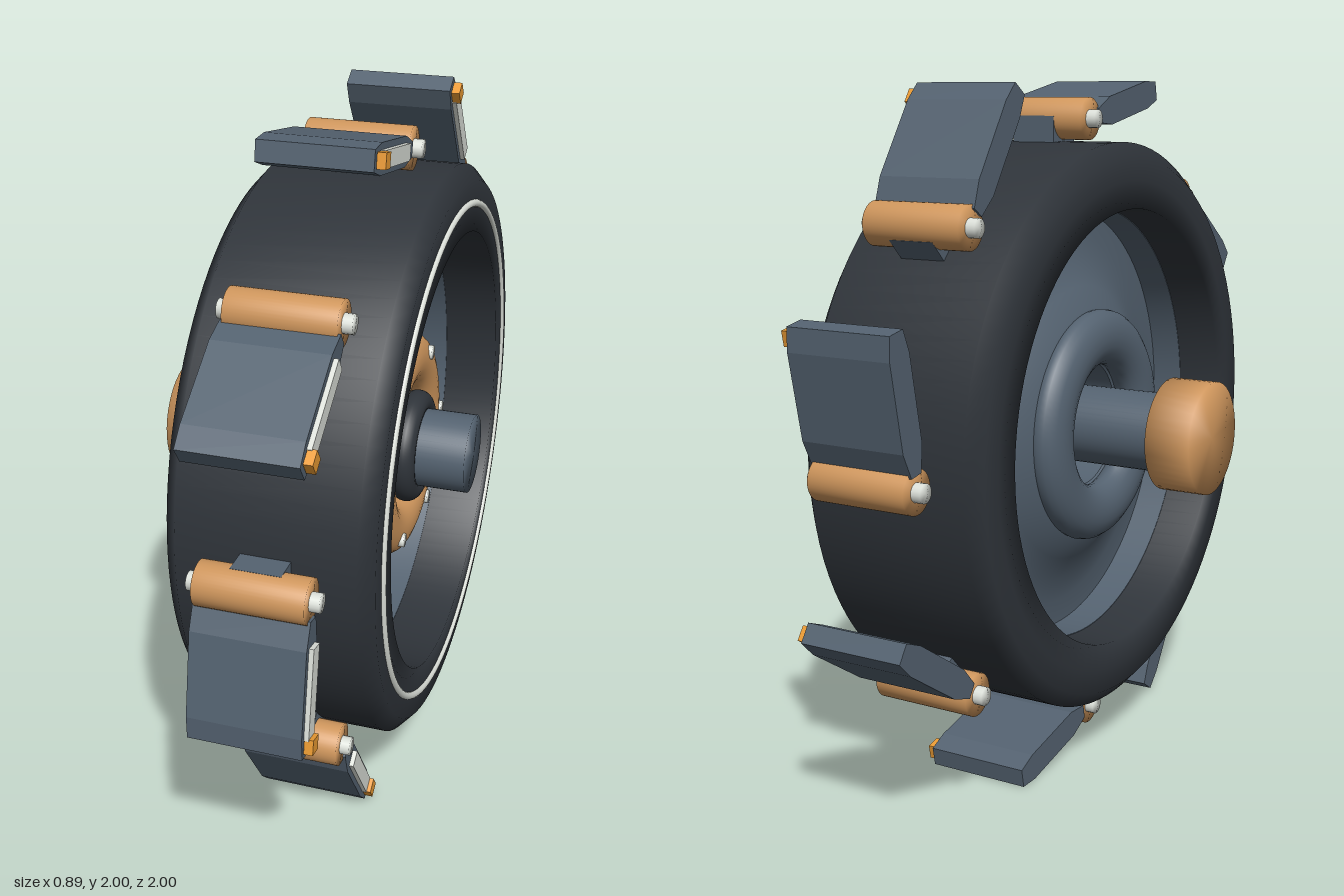
import * as THREE from 'three';
import { mergeVertices, toCreasedNormals } from 'three/addons/utils/BufferGeometryUtils.js';

const MID = 0.0975; // centre plane of the wheel along the axle
const mat = (color) => new THREE.MeshStandardMaterial({ color });
const rubber = mat(0x2f343a), steel = mat(0x546270), bronze = mat(0xd0975d);
const pale = mat(0xdce0d9), amber = mat(0xec9c34);
const paddleSteel = new THREE.MeshStandardMaterial({ color: 0x546270, flatShading: true });

function add(parent, name, geometry, material, x = 0, y = 0, z = 0) {
  const mesh = new THREE.Mesh(geometry, material);
  mesh.name = name;
  mesh.position.set(x, y, z);
  parent.add(mesh);
  return mesh;
}

// Weld a geometry and shade it smoothly, also over its edges
function softened(geometry) {
  geometry.deleteAttribute('normal');
  geometry.deleteAttribute('uv');
  const welded = mergeVertices(geometry, 1e-4);
  welded.computeVertexNormals();
  return welded;
}

// Cylinder, torus and lathe turned so that their axis is x
const rod = (r, length, sides = 40) =>
  softened(new THREE.CylinderGeometry(r, r, length, sides).rotateZ(-Math.PI / 2));
const ring = (r, tube, sx = 1) =>
  new THREE.TorusGeometry(r, tube, 20, 96).rotateY(Math.PI / 2).scale(sx, 1, 1);
function turned(profile) {
  const pts = profile.map(([r, x]) => new THREE.Vector2(r, x));
  pts.push(pts[0].clone());
  return new THREE.LatheGeometry(pts, 96).rotateZ(-Math.PI / 2);
}
// Mirror half a profile (listed from the outside inward) across the centre plane
const mirrored = (half) => [...half.map(([r, x]) => [r, -x]).reverse(), ...half];

// One hinged paddle, built at the top of the wheel and leaning towards +z
function createPaddle() {
  const unit = new THREE.Group();
  const pivotY = 0.892;
  add(unit, 'hingeBracket', new THREE.BoxGeometry(0.135, 0.11, 0.12), steel, MID + 0.005, 0.845, 0);
  add(unit, 'hingeBarrel', rod(0.06, 0.295), bronze, MID, pivotY, 0);
  add(unit, 'hingePin', rod(0.026, 0.35, 16), pale, MID, pivotY, 0);

  const blade = new THREE.Group();
  blade.name = 'blade';
  blade.position.set(MID, pivotY, 0);
  blade.rotation.x = -0.187;
  unit.add(blade);

  // Tapered side profile: distance along the blade, half thickness
  const edge = [[0.045, 0.021], [0.118, 0.041], [0.355, 0.041], [0.418, 0.028]];
  const shape = new THREE.Shape([
    ...edge.map(([d, t]) => new THREE.Vector2(d, -t)),
    ...edge.map(([d, t]) => new THREE.Vector2(d, t)).reverse(),
  ]);
  const plate = new THREE.ExtrudeGeometry(shape, { depth: 0.31, bevelEnabled: false });
  plate.translate(0, 0, -0.155).rotateY(-Math.PI / 2);
  add(blade, 'bladePlate', plate, paddleSteel);
  add(blade, 'sideStrip', new THREE.BoxGeometry(0.016, 0.046, 0.25), pale, 0.16, 0, 0.24);
  add(blade, 'tipMarker', new THREE.BoxGeometry(0.024, 0.042, 0.042), amber, 0.168, 0, 0.382);
  return unit;
}

export function createModel() {
  const model = new THREE.Group();
  model.name = 'paddleWheel';
  const wheel = new THREE.Group();
  wheel.name = 'wheel';
  wheel.position.y = 1;
  model.add(wheel);

  // Tyre with chamfered shoulders and a pale line on its outer wall
  const tyre = mirrored([[0.828, 0.24], [0.785, 0.279], [0.72, 0.279], [0.64, 0.279]]);
  add(wheel, 'tyre', softened(turned(tyre)), rubber, MID);
  add(wheel, 'tyreLine', ring(0.72, 0.011), pale, 0.375);

  // Dished disc that swells towards the hub, with a rim band and an open centre
  const disc = mirrored([
    [0.66, 0.13], [0.638, 0.13], [0.635, 0.035], [0.56, 0.04], [0.48, 0.06],
    [0.41, 0.097], [0.35, 0.14], [0.3, 0.15], [0.22, 0.15], [0.185, 0.12],
  ]);
  add(wheel, 'disc', toCreasedNormals(turned(disc), 0.8), steel, MID - 0.015);

  // Hub rings on both faces, bolts on the outer one
  add(wheel, 'outerHubRing', ring(0.255, 0.075, 0.7), bronze, 0.227);
  add(wheel, 'innerHubRing', ring(0.262, 0.082, 0.7), steel, -0.07);
  for (let i = 0; i < 6; i++) {
    const a = (i * Math.PI) / 3;
    add(wheel, 'hubBolt', rod(0.021, 0.04, 16), pale,
      0.265, 0.28 * Math.sin(a), 0.28 * Math.cos(a));
  }

  // Axle, collar and end cap
  add(wheel, 'axle', rod(0.115, 0.845), steel, 0.0225);
  add(wheel, 'axleCollar', ring(0.13, 0.036, 1.1), rubber, 0.265);
  add(wheel, 'axleCap', rod(0.163, 0.135), bronze, -0.3825);

  // Eight paddles around the tread
  for (let i = 0; i < 8; i++) {
    const paddle = createPaddle();
    paddle.name = 'paddle' + (i + 1);
    paddle.rotation.x = (i * Math.PI) / 4;
    wheel.add(paddle);
  }
  return model;
}
